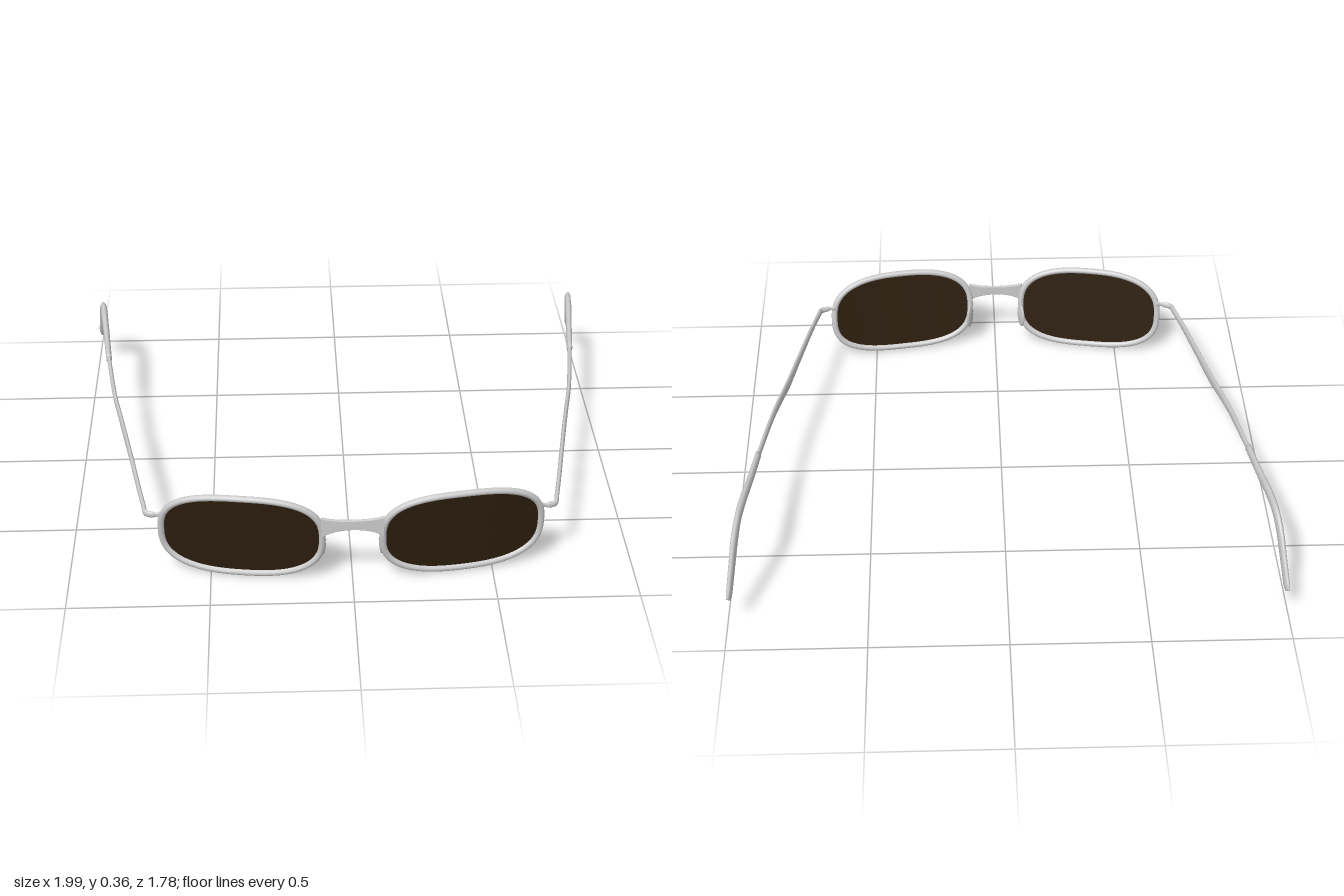
import * as THREE from 'three';

const metal = new THREE.MeshStandardMaterial({ color: 0xcccccc });
const tint = new THREE.MeshStandardMaterial({ color: 0x2c1e0e, side: THREE.DoubleSide });

// Surface on which rims and lenses lie: wrapped around the face, top leaning forward
const faceZ = (x, y) => 0.87 - 0.21 * x * x + 0.14 * (y - 0.185);

// Point on a lens outline (superellipse), k scales it towards the lens centre
function lensPoint(s, a, k = 1) {
  const p = (v) => Math.sign(v) * Math.abs(v) ** (2 / 2.7);
  const x = s * (0.388 + k * 0.282 * p(Math.cos(a)));
  const y = 0.183 + k * 0.166 * p(Math.sin(a));
  return new THREE.Vector3(x, y, faceZ(x, y));
}

function named(name, geometry, material = metal) {
  const mesh = new THREE.Mesh(geometry, material);
  mesh.name = name;
  return mesh;
}

// Sweeps an ellipse along a path of [x, y, z, halfWidth, halfHeight], closed at both ends
function sweep(rows, steps, sides = 14) {
  const path = new THREE.CatmullRomCurve3(rows.map((r) => new THREE.Vector3(r[0], r[1], r[2])));
  const size = new THREE.CatmullRomCurve3(rows.map((r) => new THREE.Vector3(r[3], r[4], 0)));
  const pos = [], idx = [], up = new THREE.Vector3(0, 1, 0);
  for (let i = -1; i <= steps + 1; i++) {
    const t = THREE.MathUtils.clamp(i / steps, 0, 1);
    const end = i < 0 || i > steps ? 0 : 1;
    const c = path.getPoint(t), d = path.getTangent(t), r = size.getPoint(t);
    const side = new THREE.Vector3().crossVectors(up, d).normalize();
    const normal = new THREE.Vector3().crossVectors(d, side);
    for (let j = 0; j < sides; j++) {
      const a = (j / sides) * Math.PI * 2;
      const p = c.clone()
        .addScaledVector(side, end * r.x * Math.cos(a))
        .addScaledVector(normal, end * r.y * Math.sin(a));
      pos.push(p.x, p.y, p.z);
    }
  }
  for (let i = 0; i < steps + 2; i++) {
    for (let j = 0; j < sides; j++) {
      const a = i * sides + j, b = i * sides + ((j + 1) % sides);
      idx.push(a, b, a + sides, b, b + sides, a + sides);
    }
  }
  const g = new THREE.BufferGeometry();
  g.setAttribute('position', new THREE.Float32BufferAttribute(pos, 3));
  g.setIndex(idx);
  g.computeVertexNormals();
  return g;
}

// Curved lens: concentric rings of the outline
function lensGeometry(s) {
  const rings = 8, n = 64, pos = [], idx = [];
  for (let i = 0; i <= rings; i++) {
    for (let j = 0; j < n; j++) pos.push(...lensPoint(s, (j / n) * Math.PI * 2, i / rings).toArray());
  }
  for (let i = 0; i < rings; i++) {
    for (let j = 0; j < n; j++) {
      const a = i * n + j, b = i * n + ((j + 1) % n);
      if (s > 0) idx.push(a, a + n, b, b, a + n, b + n);
      else idx.push(a, b, a + n, b, b + n, a + n);
    }
  }
  const g = new THREE.BufferGeometry();
  g.setAttribute('position', new THREE.Float32BufferAttribute(pos, 3));
  g.setIndex(idx);
  g.computeVertexNormals();
  return g;
}

function rimGeometry(s) {
  const pts = [];
  for (let j = 0; j < 64; j++) pts.push(lensPoint(s, (j / 64) * Math.PI * 2));
  return new THREE.TubeGeometry(new THREE.CatmullRomCurve3(pts, true), 128, 0.012, 10, true);
}

// Waisted flat bridge between the rims
function bridgeGeometry() {
  const shape = new THREE.Shape();
  shape.moveTo(-0.108, 0.275);
  shape.bezierCurveTo(-0.06, 0.258, 0.06, 0.258, 0.108, 0.275);
  shape.lineTo(0.108, 0.2);
  shape.bezierCurveTo(0.07, 0.24, -0.07, 0.24, -0.108, 0.2);
  const g = new THREE.ExtrudeGeometry(shape, {
    depth: 0.006, bevelSize: 0.003, bevelThickness: 0.003, bevelSegments: 2, curveSegments: 16,
  });
  return g.translate(0, 0, 0.88);
}

function buildSide(s) {
  const group = new THREE.Group();
  group.name = s > 0 ? 'leftSide' : 'rightSide';
  const mirror = (rows) => rows.map(([x, ...rest]) => [s * x, ...rest]);

  group.add(named('lens', lensGeometry(s), tint), named('rim', rimGeometry(s)));

  // Nose pad on a short bent arm
  const pad = named('nosePad', new THREE.SphereGeometry(1, 20, 14));
  pad.scale.set(0.009, 0.05, 0.028);
  pad.position.set(s * 0.107, 0.148, 0.836);
  pad.rotation.y = -s * 0.4;
  group.add(pad);
  group.add(named('nosePadArm', sweep(mirror([
    [0.115, 0.18, 0.866, 0.006, 0.006],
    [0.098, 0.172, 0.858, 0.006, 0.006],
    [0.102, 0.155, 0.84, 0.006, 0.006],
  ]), 12, 8)));

  // Hinge bend and slim metal temple
  group.add(named('temple', sweep(mirror([
    [0.665, 0.24, 0.775, 0.007, 0.012],
    [0.695, 0.238, 0.771, 0.007, 0.012],
    [0.722, 0.238, 0.758, 0.008, 0.013],
    [0.731, 0.242, 0.72, 0.008, 0.014],
    [0.755, 0.252, 0.6, 0.008, 0.016],
    [0.792, 0.261, 0.4, 0.008, 0.019],
    [0.83, 0.266, 0.2, 0.008, 0.023],
    [0.842, 0.272, 0.14, 0.008, 0.021],
    [0.87, 0.282, 0, 0.008, 0.018],
    [0.913, 0.302, -0.3, 0.008, 0.014],
  ]), 72)));

  // Thicker ear sleeve hooking down at the back
  group.add(named('earSleeve', sweep(mirror([
    [0.91, 0.302, -0.28, 0.011, 0.018],
    [0.929, 0.317, -0.45, 0.012, 0.019],
    [0.946, 0.334, -0.6, 0.013, 0.02],
    [0.955, 0.328, -0.68, 0.012, 0.023],
    [0.965, 0.287, -0.742, 0.012, 0.025],
    [0.975, 0.215, -0.8, 0.011, 0.024],
    [0.986, 0.136, -0.86, 0.01, 0.023],
    [0.989, 0.122, -0.874, 0.007, 0.016],
  ]), 64)));
  return group;
}

export function createModel() {
  const model = new THREE.Group();
  model.name = 'sunglasses';
  const frame = new THREE.Group();
  frame.name = 'frame';
  frame.add(buildSide(1), buildSide(-1), named('bridge', bridgeGeometry()));
  frame.rotation.z = 0.005; // sits very slightly askew
  model.add(frame);
  return model;
}
